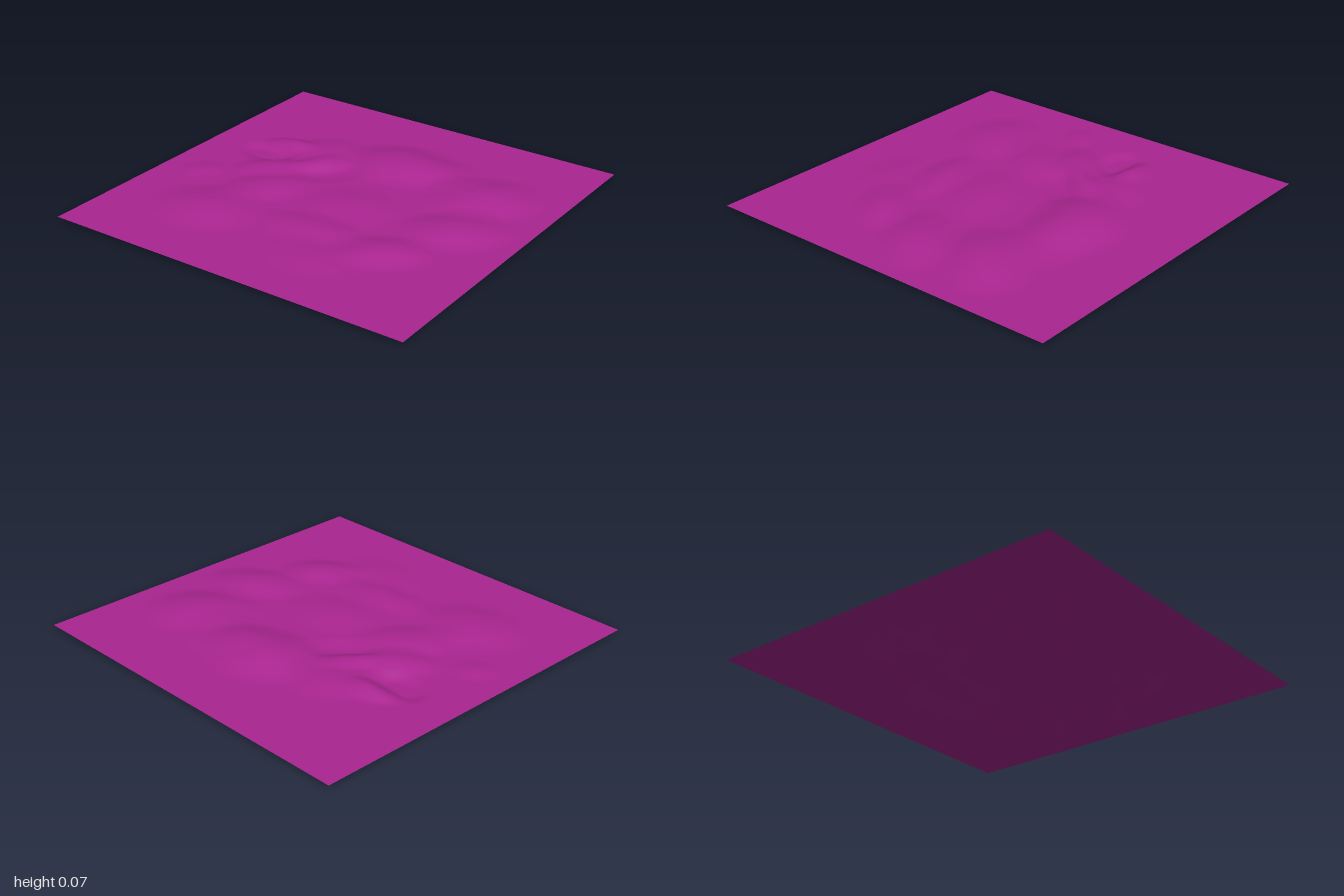
import * as THREE from 'three';

const BASE = 0.017;

// Hills and hollows: x, z, height, long radius, short radius, tilt of the long axis
const BUMPS = [
  [0.0, 0.0, 0.009, 0.95, 0.82, 0],
  [0.04, -0.45, 0.05, 0.36, 0.28, 0.2],
  [0.3, -0.45, 0.022, 0.28, 0.24, 0.3],
  [0.6, -0.35, 0.043, 0.36, 0.27, 0.7],
  [-0.59, -0.31, 0.033, 0.18, 0.12, 0.3],
  [-0.38, -0.38, 0.02, 0.26, 0.2, 0.6],
  [-0.3, -0.22, 0.024, 0.2, 0.11, 0.8],
  [-0.48, -0.04, 0.026, 0.25, 0.14, 0.6],
  [-0.36, 0.15, 0.026, 0.32, 0.19, 0.8],
  [-0.78, 0.17, 0.011, 0.15, 0.11, 0.7],
  [-0.48, 0.5, 0.033, 0.34, 0.27, 0.2],
  [0.1, 0.1, 0.02, 0.34, 0.24, 0.3],
  [0.08, 0.4, 0.024, 0.36, 0.16, 0.1],
  [0.5, 0.4, 0.032, 0.28, 0.18, 0.6],
  [0.66, 0.03, 0.035, 0.34, 0.22, 0.6],
  [0.25, 0.62, 0.013, 0.32, 0.2, 0.1],
  [-0.63, -0.21, -0.034, 0.2, 0.14, 0.2],
  [-0.2, -0.14, -0.013, 0.24, 0.13, 0.8],
];

// Each bump fades smoothly to nothing at the rim of its ellipse
function heightAt(x, z) {
  let y = BASE;
  for (const [cx, cz, h, a, b, tilt] of BUMPS) {
    const dx = x - cx, dz = z - cz;
    const u = (dx * Math.cos(tilt) - dz * Math.sin(tilt)) / a;
    const v = (dx * Math.sin(tilt) + dz * Math.cos(tilt)) / b;
    y += h * Math.max(0, 1 - u * u - v * v) ** 2;
  }
  return Math.max(0, y);
}

export function createModel() {
  const group = new THREE.Group();
  group.name = 'terrain';

  // Thin square sheet raised into low hills, flat along its border
  const geometry = new THREE.PlaneGeometry(2, 2, 100, 100).rotateX(-Math.PI / 2);
  const pos = geometry.attributes.position;
  for (let i = 0; i < pos.count; i++) pos.setY(i, heightAt(pos.getX(i), pos.getZ(i)));
  geometry.computeVertexNormals();

  const ground = new THREE.Mesh(
    geometry,
    new THREE.MeshStandardMaterial({ color: 0xaa2590, side: THREE.DoubleSide })
  );
  ground.name = 'groundSheet';
  group.add(ground);
  return group;
}
